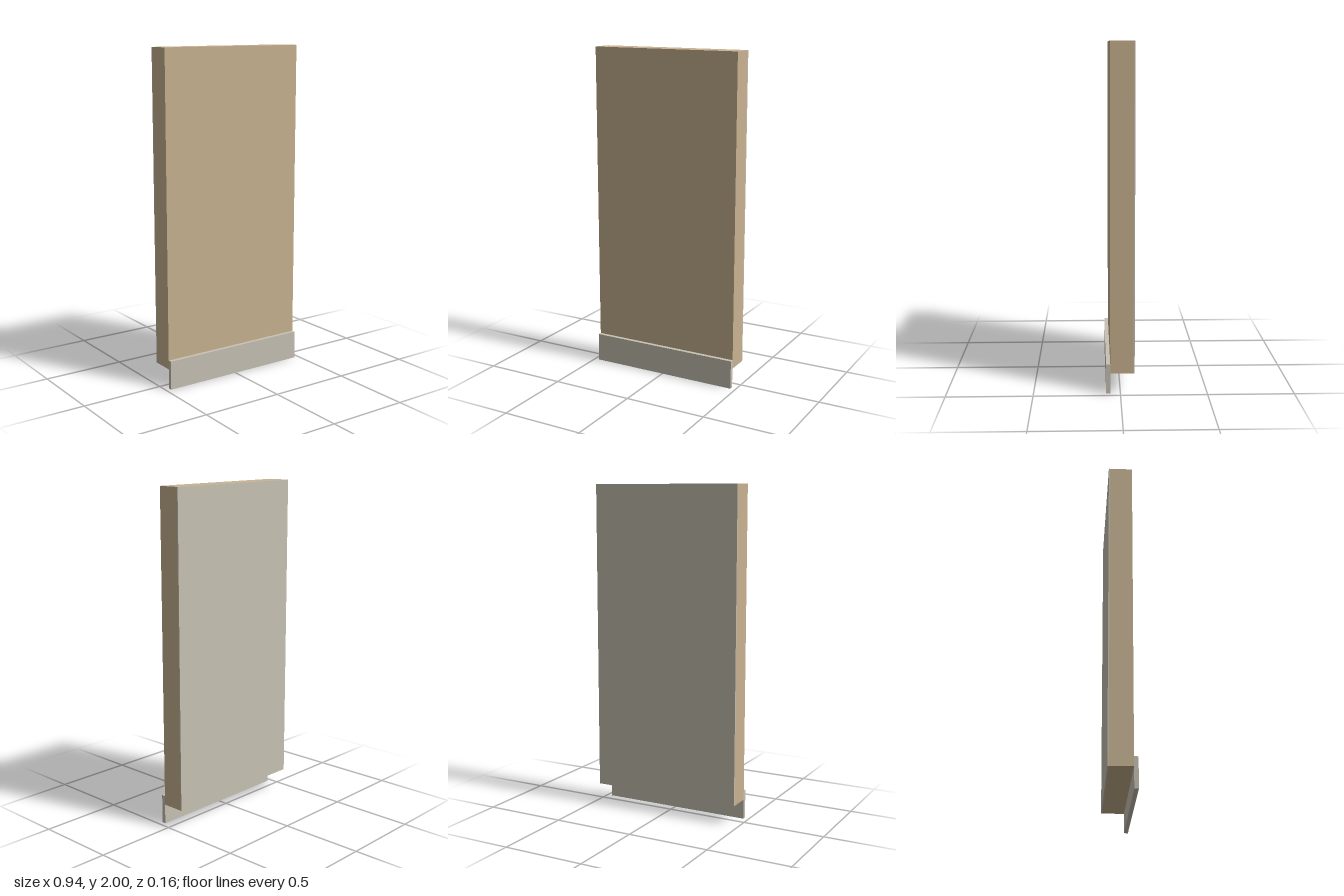
import * as THREE from 'three';

const WIDTH = 0.94;

export function createModel() {
  const model = new THREE.Group();
  model.name = 'wallPanel';

  const tan = new THREE.MeshStandardMaterial({ color: 0xc9b391 });
  tan.name = 'tan board';
  const grey = new THREE.MeshStandardMaterial({ color: 0xc8c2b4 });
  grey.name = 'warm grey';

  // Full-width slab between two heights and two depths
  const addSlab = (name, material, y0, y1, z0, z1) => {
    const mesh = new THREE.Mesh(new THREE.BoxGeometry(WIDTH, y1 - y0, z1 - z0), material);
    mesh.name = name;
    mesh.position.set(0, (y0 + y1) / 2, (z0 + z1) / 2);
    model.add(mesh);
  };

  // Main board
  addSlab('board', tan, 0.12, 2, -0.075, 0.058);
  // Thin facing sheet on the back
  addSlab('backSheet', grey, 0.12, 2, -0.082, -0.075);
  // Skirting strip hanging below the board at the front
  addSlab('skirting', grey, 0, 0.175, 0.058, 0.082);

  return model;
}
